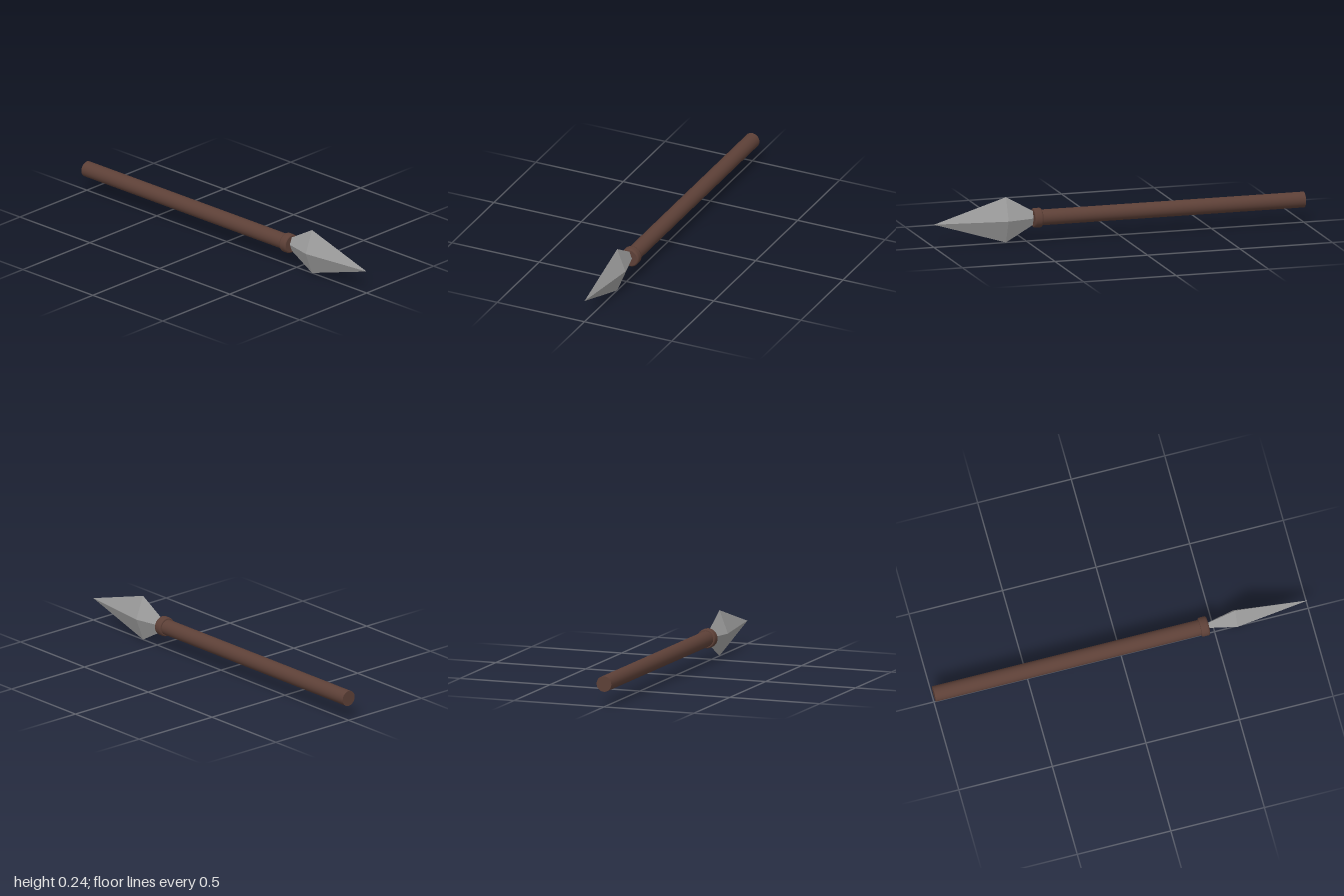
import * as THREE from 'three';

const AXIS_Y = 0.12;

export function createModel() {
  const group = new THREE.Group();
  const wood = new THREE.MeshStandardMaterial({ color: 0x5d4037 });
  const steel = new THREE.MeshStandardMaterial({ color: 0x9e9e9e, flatShading: true });

  const add = (name, geometry, material) => {
    const mesh = new THREE.Mesh(geometry, material);
    mesh.name = name;
    mesh.position.y = AXIS_Y;
    group.add(mesh);
  };

  // Round shaft along z
  const shaft = new THREE.CylinderGeometry(0.041, 0.041, 1.445, 32);
  shaft.rotateX(Math.PI / 2).translate(0, 0, -0.2775);
  add('shaft', shaft, wood);

  // Collar with rounded rims and a flat front face
  const profile = [
    [0, 0.42], [0.044, 0.42], [0.048, 0.422], [0.0505, 0.427], [0.051, 0.432],
    [0.051, 0.453], [0.0505, 0.458], [0.048, 0.463], [0.044, 0.465],
    [0.044, 0.465], [0, 0.465],
  ].map(([r, z]) => new THREE.Vector2(r, z));
  const collar = new THREE.LatheGeometry(profile, 32);
  collar.rotateX(Math.PI / 2);
  add('collar', collar, wood);

  // Four-sided blade: long taper to the tip, short taper into the collar
  const blade = new THREE.OctahedronGeometry(1, 0);
  const p = blade.attributes.position;
  for (let i = 0; i < p.count; i++) {
    const z = p.getZ(i);
    p.setXYZ(i, p.getX(i) * 0.047, p.getY(i) * 0.12, 0.61 + z * (z > 0 ? 0.39 : 0.21));
  }
  blade.computeVertexNormals();
  add('blade', blade, steel);

  return group;
}
